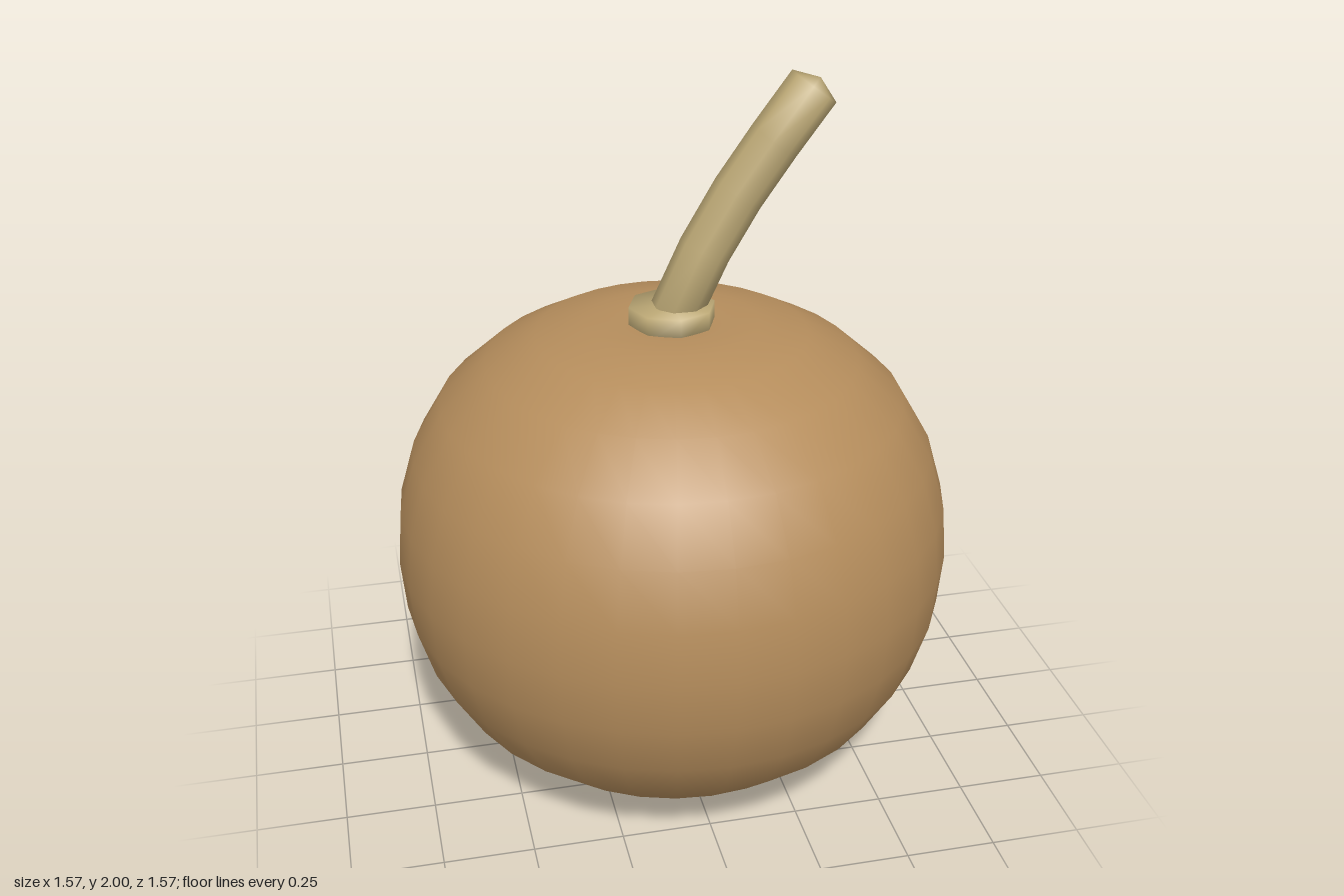
import * as THREE from 'three';
import { mergeVertices } from 'three/addons/utils/BufferGeometryUtils.js';

// Weld all corners so shading rolls softly over the rims
function soften(geometry) {
  geometry.deleteAttribute('normal');
  geometry.deleteAttribute('uv');
  const welded = mergeVertices(geometry, 1e-4);
  welded.computeVertexNormals();
  return welded;
}

export function createModel() {
  const group = new THREE.Group();
  const skin = new THREE.MeshStandardMaterial({ color: 0xb58d5c });
  skin.name = 'brown skin';
  const wood = new THREE.MeshStandardMaterial({ color: 0xbda976 });
  wood.name = 'pale stem';

  const add = (name, geometry, material, y = 0) => {
    const mesh = new THREE.Mesh(geometry, material);
    mesh.name = name;
    mesh.position.y = y;
    group.add(mesh);
  };

  // Round body, flattened and slightly dimpled at both poles
  const profile = [
    [0, 0.03], [0.1, 0.018], [0.14, 0.002], [0.24, 0.01], [0.375, 0.04], [0.515, 0.112], [0.643, 0.228],
    [0.727, 0.37], [0.772, 0.52], [0.785, 0.67], [0.772, 0.822], [0.727, 0.975],
    [0.643, 1.118], [0.515, 1.232], [0.375, 1.306], [0.24, 1.334], [0.14, 1.338], [0.1, 1.332], [0, 1.325],
  ].map(([r, y]) => new THREE.Vector2(r, y));
  add('fruitBody', new THREE.LatheGeometry(profile, 32), skin);

  // Eight-sided collar under the stem and blossom scar below
  add('stemCollar', soften(new THREE.CylinderGeometry(0.12, 0.12, 0.07, 8)), wood, 1.35);
  add('blossomScar', soften(new THREE.CylinderGeometry(0.115, 0.115, 0.05, 8)), wood, 0.032);

  // Stem: an octagonal rod bent along a curve, with slightly domed ends
  const path = new THREE.CatmullRomCurve3([
    [0.01, 1.36], [0.12, 1.59], [0.245, 1.78], [0.382, 1.965],
  ].map(([x, y]) => new THREE.Vector3(x, y, 0)));
  const rod = new THREE.CylinderGeometry(0.072, 0.072, 1, 8, 4, false, Math.PI / 8);
  const pos = rod.attributes.position;
  for (let i = 0; i < pos.count; i++) {
    const x = pos.getX(i), z = pos.getZ(i), t = pos.getY(i) + 0.5;
    const p = path.getPoint(t), d = path.getTangent(t);
    const dome = Math.hypot(x, z) < 0.01 ? (t > 0.5 ? 0.028 : -0.028) : 0;
    pos.setXYZ(i, p.x + d.y * x + d.x * dome, p.y - d.x * x + d.y * dome, z);
  }
  add('stem', soften(rod), wood);

  return group;
}
